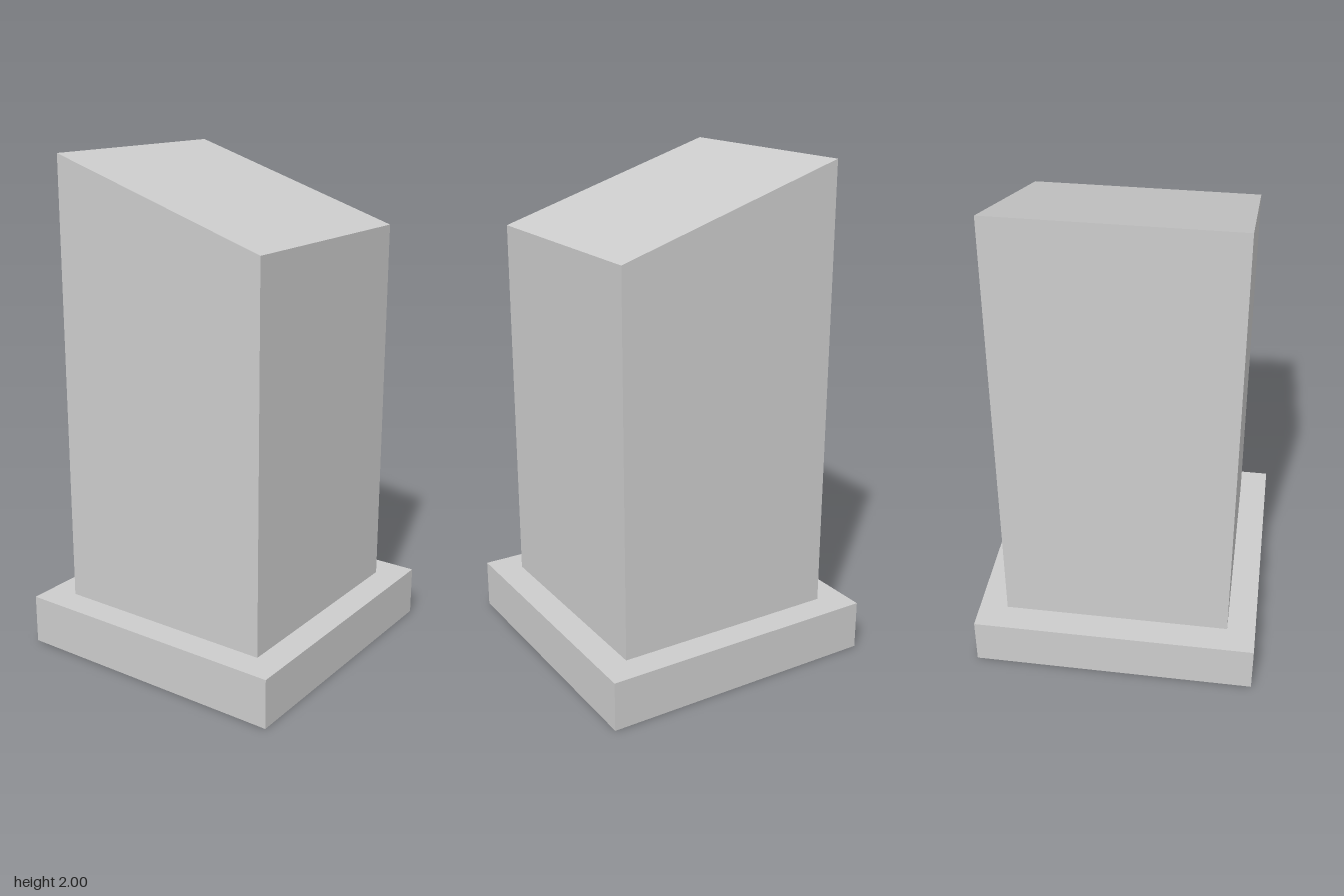
import * as THREE from 'three';

const BASE = 1.146, BASE_H = 0.2;
const HALF = 0.458, FRONT_TOP = 1.705, BACK_TOP = 2;

export function createModel() {
  const model = new THREE.Group();
  model.name = 'pedestal';

  const stone = new THREE.MeshStandardMaterial({ color: 0xcccccc });
  stone.name = 'light grey stone';

  // Square plinth
  const plinth = new THREE.Mesh(new THREE.BoxGeometry(BASE, BASE_H, BASE), stone);
  plinth.name = 'plinth';
  plinth.position.y = BASE_H / 2;
  model.add(plinth);

  // Column: side profile with a top sloping down to the front, extruded across the width
  const profile = new THREE.Shape([
    new THREE.Vector2(-HALF, BASE_H),
    new THREE.Vector2(HALF, BASE_H),
    new THREE.Vector2(HALF, BACK_TOP),
    new THREE.Vector2(-HALF, FRONT_TOP),
  ]);
  const columnGeometry = new THREE.ExtrudeGeometry(profile, { depth: HALF * 2, bevelEnabled: false });
  columnGeometry.translate(0, 0, -HALF);
  columnGeometry.rotateY(Math.PI / 2); // profile +x becomes the back (-z)
  const column = new THREE.Mesh(columnGeometry, stone);
  column.name = 'slopedColumn';
  model.add(column);

  return model;
}
